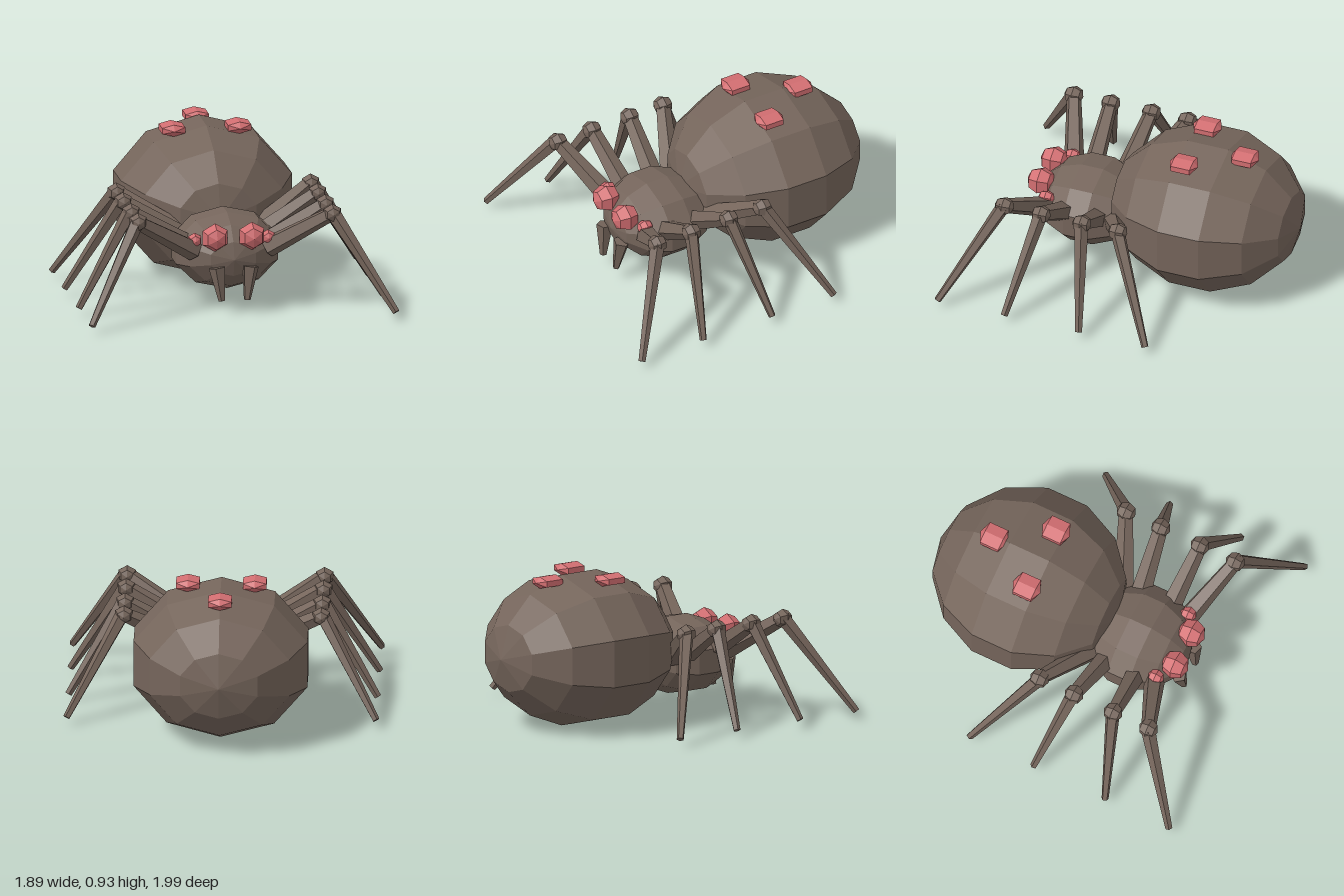
import * as THREE from 'three';

const brown = new THREE.MeshStandardMaterial({ color: 0x75655b });
brown.name = 'brown shell';
const pink = new THREE.MeshStandardMaterial({ color: 0xd26e71 });
pink.name = 'pink';

// Faceted mesh: unshared corners give flat normals
function facet(name, geometry, material) {
  const g = geometry.index ? geometry.toNonIndexed() : geometry;
  g.computeVertexNormals();
  const mesh = new THREE.Mesh(g, material);
  mesh.name = name;
  return mesh;
}

// Ellipsoid with its poles along z and a vertex line on top
function ellipsoid(name, center, radii, sides, rings, material) {
  const g = new THREE.SphereGeometry(1, sides, rings);
  g.rotateY(Math.PI / 2).rotateX(Math.PI / 2).scale(...radii).translate(...center);
  return facet(name, g, material);
}

// Tapered limb between two points
function limb(name, from, to, r0, r1, sides = 5) {
  const a = new THREE.Vector3(...from), b = new THREE.Vector3(...to);
  const dir = b.clone().sub(a);
  const g = new THREE.CylinderGeometry(r1, r0, dir.length(), sides);
  const turn = new THREE.Quaternion().setFromUnitVectors(
    new THREE.Vector3(0, 1, 0), dir.clone().normalize());
  g.applyQuaternion(turn);
  const mid = a.add(b).multiplyScalar(0.5);
  g.translate(mid.x, mid.y, mid.z);
  return facet(name, g, brown);
}

// Flattened six-sided gem for the back markings
function spot(name, x, y, z) {
  const profile = [[0, -0.09], [0.081, -0.06], [0.081, 0.06], [0, 0.09]]
    .map(p => new THREE.Vector2(...p));
  const g = new THREE.LatheGeometry(profile, 6);
  g.rotateX(-Math.PI / 2).scale(1, 0.44, 1).translate(x, y, z);
  return facet(name, g, pink);
}

export function createModel() {
  const model = new THREE.Group();
  model.name = 'spider';

  // Body
  model.add(ellipsoid('abdomen', [0, 0.467, -0.41], [0.56, 0.472, 0.59], 10, 7, brown));
  model.add(ellipsoid('head', [0, 0.335, 0.33], [0.334, 0.241, 0.32], 10, 7, brown));

  // Markings on the back
  model.add(spot('rearSpot', 0, 0.9, -0.645));
  for (const s of [-1, 1]) model.add(spot('frontSpot', s * 0.2, 0.906, -0.33));

  // z of root, knee and foot for each leg, front to back
  const legs = [
    [0.53, 0.67, 0.97],
    [0.41, 0.435, 0.545],
    [0.215, 0.175, 0.07],
    [0.11, -0.055, -0.355],
  ];

  for (const s of [-1, 1]) {
    const side = s > 0 ? 'left' : 'right';

    // Eyes
    model.add(ellipsoid(side + 'Eye', [s * 0.112, 0.472, 0.615], [0.087, 0.087, 0.085], 6, 4, pink));
    model.add(ellipsoid(side + 'SmallEye', [s * 0.222, 0.442, 0.54], [0.046, 0.046, 0.05], 6, 4, pink));

    // Fangs
    model.add(limb(side + 'Fang', [s * 0.1, 0.29, 0.63], [s * 0.076, 0.09, 0.655], 0.052, 0.021));

    // Legs
    legs.forEach(([root, knee, foot], i) => {
      const leg = new THREE.Group();
      leg.name = side + 'Leg' + (i + 1);
      leg.add(limb('upperLeg', [s * 0.22, 0.375, root], [s * 0.59, 0.605, knee], 0.065, 0.045));
      leg.add(ellipsoid('knee', [s * 0.59, 0.603, knee], [0.06, 0.058, 0.06], 6, 4, brown));
      leg.add(limb('lowerLeg', [s * 0.595, 0.61, knee], [s * 0.925, 0.055, foot], 0.045, 0.022));
      model.add(leg);
    });
  }
  return model;
}
